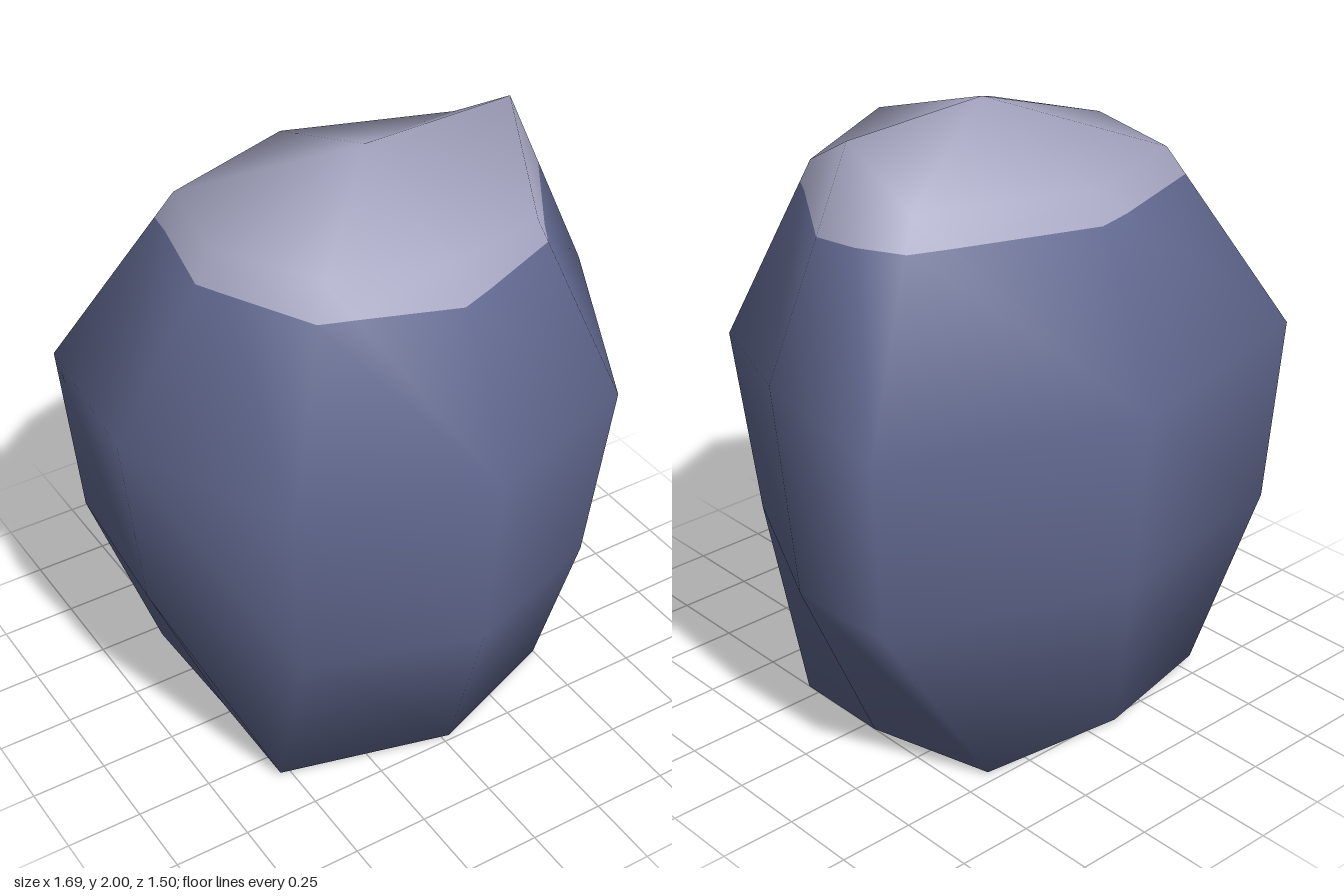
import * as THREE from 'three';

// Rings from top to bottom; each has eight [x, y, z] corners,
// going from -x round by +z, +x and -z.
const RINGS = [
  [[-0.53, 1.83, 0.03], [-0.36, 1.84, 0.35], [0, 1.85, 0.48], [0.38, 1.8, 0.35],
    [0.54, 1.99, -0.03], [0.51, 1.83, -0.28], [-0.01, 1.825, -0.47], [-0.46, 1.82, -0.33]],
  [[-0.85, 1.23, -0.02], [-0.58, 1.21, 0.55], [0, 1.23, 0.75], [0.57, 1.22, 0.55],
    [0.84, 1.32, -0.02], [0.81, 1.2, -0.44], [0.02, 1.21, -0.75], [-0.79, 1.22, -0.57]],
  [[-0.79, 0.62, -0.02], [-0.54, 0.61, 0.51], [0, 0.61, 0.69], [0.51, 0.6, 0.5],
    [0.76, 0.6, -0.02], [0.74, 0.59, -0.39], [0, 0.61, -0.68], [-0.74, 0.61, -0.55]],
  [[-0.54, 0.02, -0.03], [-0.54, 0.02, 0.35], [0.02, 0.01, 0.49], [0.5, 0, 0.3],
    [0.5, 0, -0.04], [0.4, 0.01, -0.47], [-0.1, 0.01, -0.53], [-0.55, 0.02, -0.44]],
];
const SIDES = 8;
const CAP_LEVEL = 1.73;

// Closed, smooth-shaded boulder: two poles joined by the rings
function boulderGeometry() {
  const points = [[0, 2, 0], ...RINGS.flat(), [0, 0.01, 0]];
  const last = points.length - 1;
  const at = (ring, side) => 1 + ring * SIDES + (side % SIDES);
  const index = [];
  for (let i = 0; i < SIDES; i++) {
    index.push(0, at(0, i), at(0, i + 1));
    for (let r = 0; r < RINGS.length - 1; r++) {
      const a = at(r, i + 1), b = at(r, i), c = at(r + 1, i), d = at(r + 1, i + 1);
      index.push(a, b, d, b, c, d);
    }
    index.push(at(RINGS.length - 1, i), last, at(RINGS.length - 1, i + 1));
  }
  const geometry = new THREE.BufferGeometry();
  geometry.setAttribute('position', new THREE.Float32BufferAttribute(points.flat(), 3));
  geometry.setIndex(index);
  geometry.computeVertexNormals();
  return geometry;
}

// Keeps the part above (sign 1) or below (sign -1) a level, with its smooth normals
function clip(geometry, level, sign) {
  const { position, normal } = geometry.attributes;
  const index = geometry.index.array;
  const outP = [], outN = [];
  const corner = (i) => ({
    p: new THREE.Vector3().fromBufferAttribute(position, i),
    n: new THREE.Vector3().fromBufferAttribute(normal, i),
  });
  const height = (v) => sign * (v.p.y - level);
  for (let t = 0; t < index.length; t += 3) {
    const tri = [0, 1, 2].map((k) => corner(index[t + k]));
    const poly = [];
    tri.forEach((v, k) => {
      const w = tri[(k + 1) % 3];
      const hv = height(v), hw = height(w);
      if (hv >= 0) poly.push(v);
      if (hv * hw < 0) {
        const f = hv / (hv - hw);
        poly.push({ p: v.p.clone().lerp(w.p, f), n: v.n.clone().lerp(w.n, f).normalize() });
      }
    });
    for (let k = 1; k < poly.length - 1; k++) {
      for (const v of [poly[0], poly[k], poly[k + 1]]) {
        outP.push(...v.p.toArray());
        outN.push(...v.n.toArray());
      }
    }
  }
  const part = new THREE.BufferGeometry();
  part.setAttribute('position', new THREE.Float32BufferAttribute(outP, 3));
  part.setAttribute('normal', new THREE.Float32BufferAttribute(outN, 3));
  return part;
}

export function createModel() {
  const stone = new THREE.MeshStandardMaterial({ color: 0x61688f });
  stone.name = 'slate blue stone';
  const pale = new THREE.MeshStandardMaterial({ color: 0xa6a6c2 });
  pale.name = 'pale grey top';

  const model = new THREE.Group();
  model.name = 'boulder';
  const geometry = boulderGeometry();

  // Stone body
  const body = new THREE.Mesh(clip(geometry, CAP_LEVEL, -1), stone);
  body.name = 'rockBody';
  // Pale crown
  const cap = new THREE.Mesh(clip(geometry, CAP_LEVEL, 1), pale);
  cap.name = 'rockCap';

  model.add(body, cap);
  return model;
}
